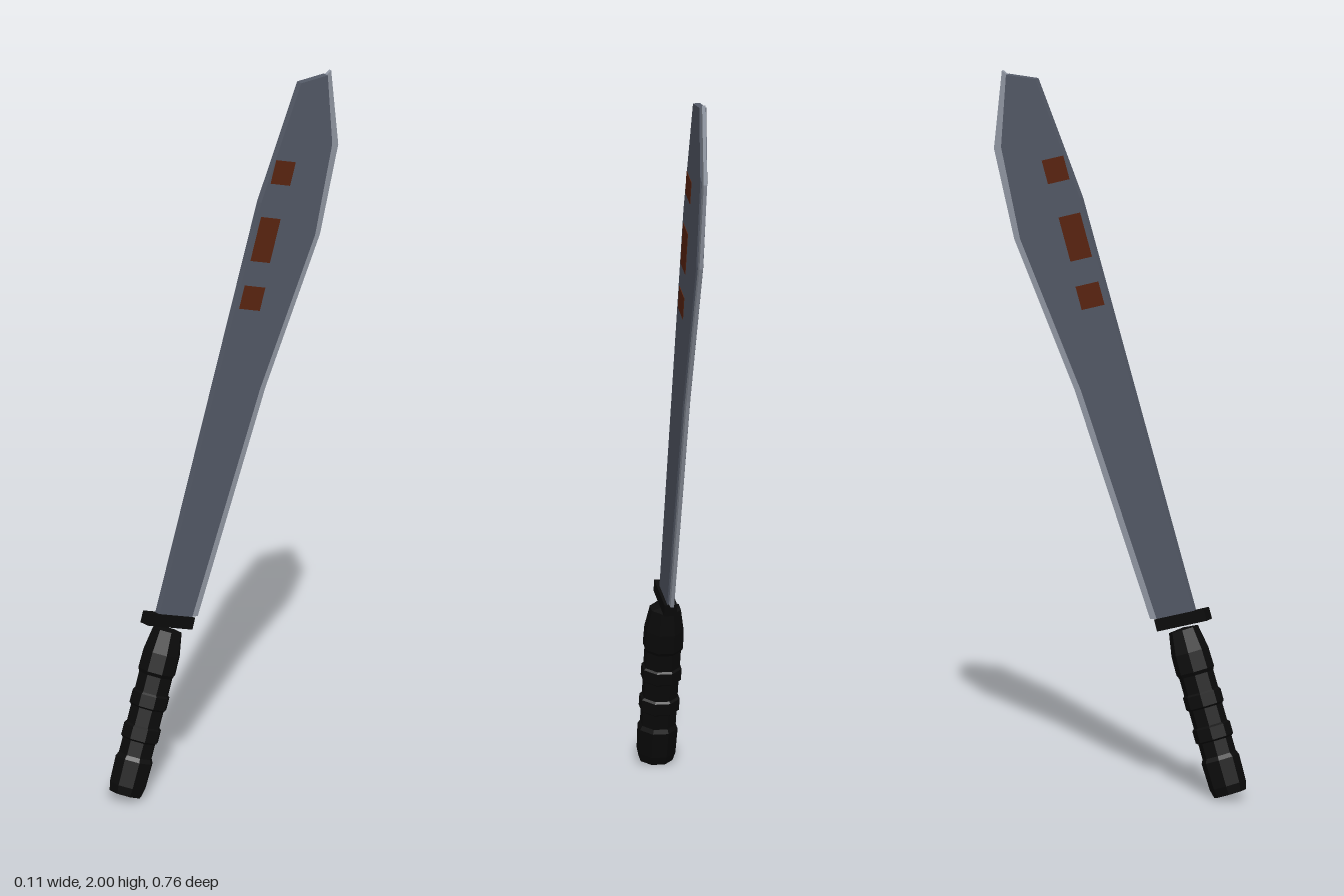
import * as THREE from 'three';

const material = (name, color) => Object.assign(new THREE.MeshStandardMaterial({ color, flatShading: true }), { name });

// Flat plate from a side outline of [-z, y] points, centred on x = 0
function plate(name, points, thickness, mat) {
  const shape = new THREE.Shape(points.map(([u, v]) => new THREE.Vector2(u, v)));
  const geo = new THREE.ExtrudeGeometry(shape, { depth: thickness, bevelEnabled: false });
  geo.translate(0, 0, -thickness / 2).rotateY(Math.PI / 2);
  const mesh = new THREE.Mesh(geo, mat);
  mesh.name = name;
  return mesh;
}

export function createModel() {
  const steel = material('dark steel', 0x555b68);
  const honed = material('honed steel', 0x9399a5);
  const rust = material('rust', 0x5c2510);
  const black = material('black grip', 0x0b0b0b);
  const group = new THREE.Group();
  group.name = 'machete';

  // Blade body: straight spine, clipped tip, swelling belly
  const spine = [[-0.235, 0.51], [0.114, 1.66], [0.25, 1.985]];
  const bevelLine = [[0.34, 1.99], [0.355, 1.785], [0.297, 1.53], [0.11, 1.114], [-0.12, 0.49]];
  group.add(plate('blade', [...spine, ...bevelLine], 0.02, steel));

  // Thinner honed strip along the belly
  const edgeLine = [[-0.098, 0.487], [0.132, 1.114], [0.317, 1.527], [0.379, 1.778], [0.355, 2.0]];
  group.add(plate('cuttingEdge', [...bevelLine, ...edgeLine], 0.01, honed));

  // Rust patches, showing on both faces: centre -z, centre y, width, length
  const tilt = 0.29, c = Math.cos(tilt), s = Math.sin(tilt);
  for (const [u, v, w, l] of [[0.188, 1.734, 0.068, 0.068], [0.128, 1.549, 0.068, 0.127], [0.083, 1.387, 0.072, 0.067]]) {
    const corners = [[-1, -1], [1, -1], [1, 1], [-1, 1]].map(([a, b]) => {
      const p = a * w / 2, q = b * l / 2;
      return [u + p * c + q * s, v - p * s + q * c];
    });
    group.add(plate('rustPatch', corners, 0.023, rust));
  }

  // Guard
  const guard = new THREE.Mesh(new THREE.BoxGeometry(0.036, 0.034, 0.157), black);
  guard.name = 'guard';
  guard.position.set(0, 0.494, 0.196);
  guard.rotation.x = -0.275;
  group.add(guard);

  // Eight-sided grip with raised bands: [half width, distance along grip]
  const profile = [
    [0, 0], [0.045, 0], [0.051, 0.025], [0.053, 0.1], [0.047, 0.112],
    [0.047, 0.155], [0.053, 0.16], [0.053, 0.195], [0.047, 0.2],
    [0.047, 0.25], [0.053, 0.255], [0.053, 0.29], [0.048, 0.295],
    [0.048, 0.345], [0.053, 0.355], [0.052, 0.41], [0.041, 0.475], [0, 0.48],
  ].map(([r, y]) => new THREE.Vector2(r / Math.cos(Math.PI / 8), y));
  const grip = new THREE.Mesh(new THREE.LatheGeometry(profile, 8, Math.PI / 8), black);
  grip.name = 'grip';
  grip.scale.z = 0.93;
  grip.position.set(0, 0.013, 0.34);
  grip.rotation.x = -0.305;
  group.add(grip);

  return group;
}
